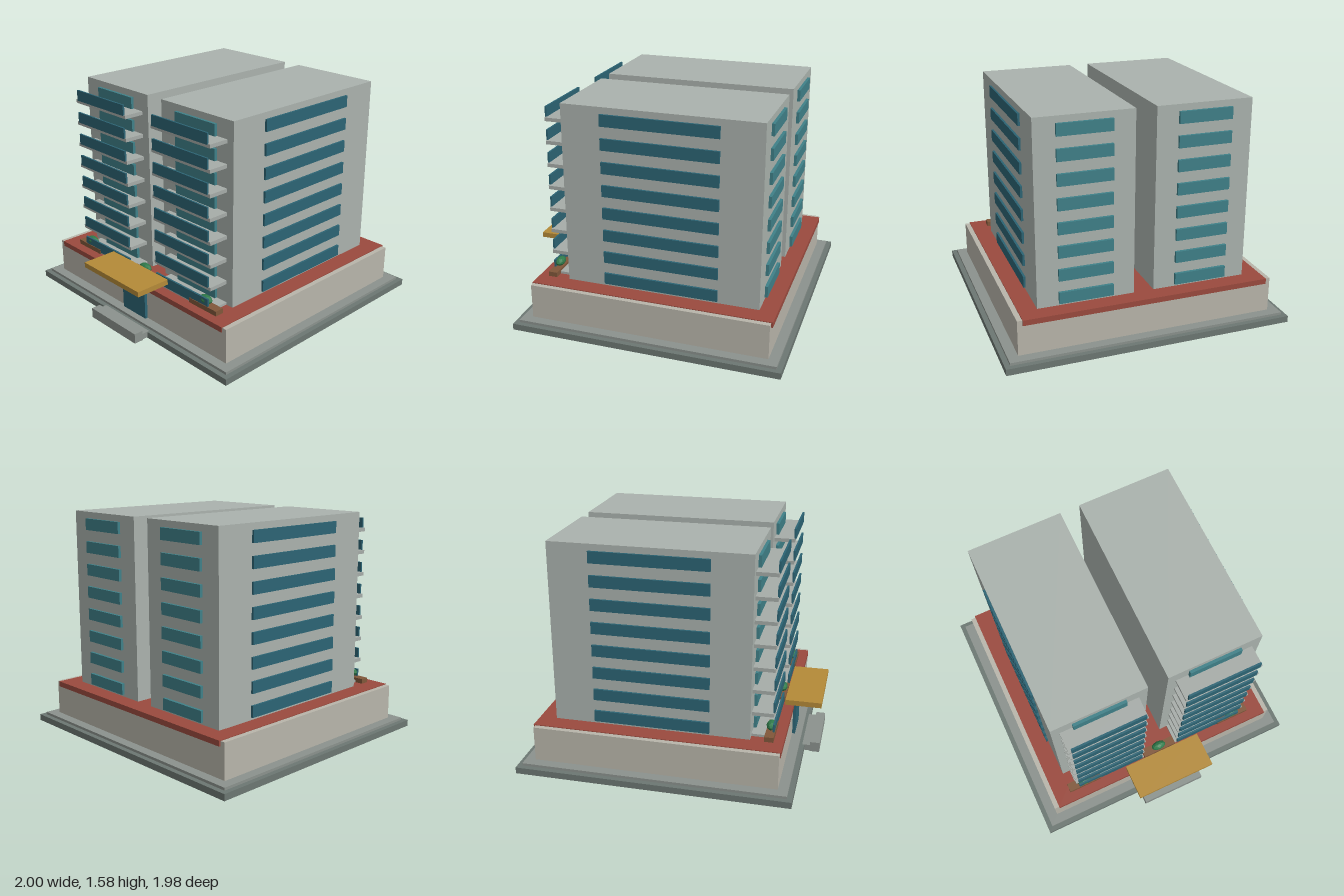
import * as THREE from 'three';

const mat = (color) => new THREE.MeshStandardMaterial({ color, flatShading: true });
const M = {
  base: mat(0x6c7772), paving: mat(0x8b928d), podium: mat(0xb8b5aa), terrace: mat(0x9a4a3e),
  tower: mat(0xaab2ad), slab: mat(0xa6aca8), glass: mat(0x2c6474), window: mat(0x3f8088),
  canopy: mat(0xb48a38), planter: mat(0x80573a), bush: mat(0x2f7a4a),
};

// Box given by its extents along each axis
function block(parent, name, material, [x0, x1], [y0, y1], [z0, z1]) {
  const mesh = new THREE.Mesh(new THREE.BoxGeometry(x1 - x0, y1 - y0, z1 - z0), material);
  mesh.position.set((x0 + x1) / 2, (y0 + y1) / 2, (z0 + z1) / 2);
  mesh.name = name;
  parent.add(mesh);
  return mesh;
}

// One tower; side is +1 for the left tower and -1 for the right
function tower(side) {
  const g = new THREE.Group();
  g.name = side > 0 ? 'leftTower' : 'rightTower';
  const span = (a, b) => (side > 0 ? [a, b] : [-b, -a]);
  block(g, 'towerBody', M.tower, span(0.07, 0.735), [0.31, 1.575], [-0.782, 0.568]);

  for (let i = 0; i < 8; i++) {
    const y = 0.33 + i * 0.16;
    const floor = new THREE.Group();
    floor.name = 'floor' + (i + 1);
    block(floor, 'sideWindow', M.glass, span(0.73, 0.75), [y, y + 0.08], [-0.5, 0.295]);
    block(floor, 'frontWindow', M.window, span(0.22, 0.59), [y, y + 0.08], [0.56, 0.588]);
    block(floor, 'backWindow', M.window, span(0.22, 0.59), [y, y + 0.08], [-0.802, -0.775]);
    block(floor, 'balconySlab', M.slab, span(0.13, 0.68), [y - 0.025, y], [0.56, 0.712]);
    block(floor, 'balconyRailing', M.glass, span(0.145, 0.66), [y - 0.005, y + 0.07], [0.705, 0.718]);
    g.add(floor);
  }
  return g;
}

// Planter box with a small rounded bush
function planter(x) {
  const g = new THREE.Group();
  g.name = 'planter';
  block(g, 'planterBox', M.planter, [x - 0.127, x + 0.127], [0.31, 0.347], [0.66, 0.722]);
  const bush = new THREE.Mesh(new THREE.IcosahedronGeometry(1, 1), M.bush);
  bush.name = 'bush';
  bush.scale.set(0.054, 0.031, 0.032);
  bush.position.set(x, 0.375, 0.69);
  g.add(bush);
  return g;
}

export function createModel() {
  const model = new THREE.Group();
  model.name = 'twinTowerBuilding';

  // Ground slabs, podium and roof terrace
  block(model, 'groundSlab', M.base, [-1, 1], [0, 0.045], [-0.992, 0.885]);
  block(model, 'pavingSlab', M.paving, [-0.965, 0.965], [0.045, 0.063], [-0.957, 0.85]);
  block(model, 'podium', M.podium, [-0.895, 0.895], [0.06, 0.308], [-0.888, 0.782]);
  block(model, 'terrace', M.terrace, [-0.86, 0.86], [0.275, 0.313], [-0.9, 0.788]);

  // Entrance: steps, doors and canopy
  block(model, 'frontStep', M.paving, [-0.24, 0.24], [0, 0.072], [0.925, 0.992]);
  block(model, 'stepLanding', M.paving, [-0.24, 0.24], [0.005, 0.048], [0.87, 0.925]);
  block(model, 'entranceDoors', M.glass, [-0.12, 0.12], [0.06, 0.375], [0.775, 0.803]);
  block(model, 'canopy', M.canopy, [-0.295, 0.295], [0.375, 0.412], [0.74, 0.992]);

  for (const x of [-0.613, 0, 0.613]) model.add(planter(x));
  for (const side of [1, -1]) model.add(tower(side));
  return model;
}
